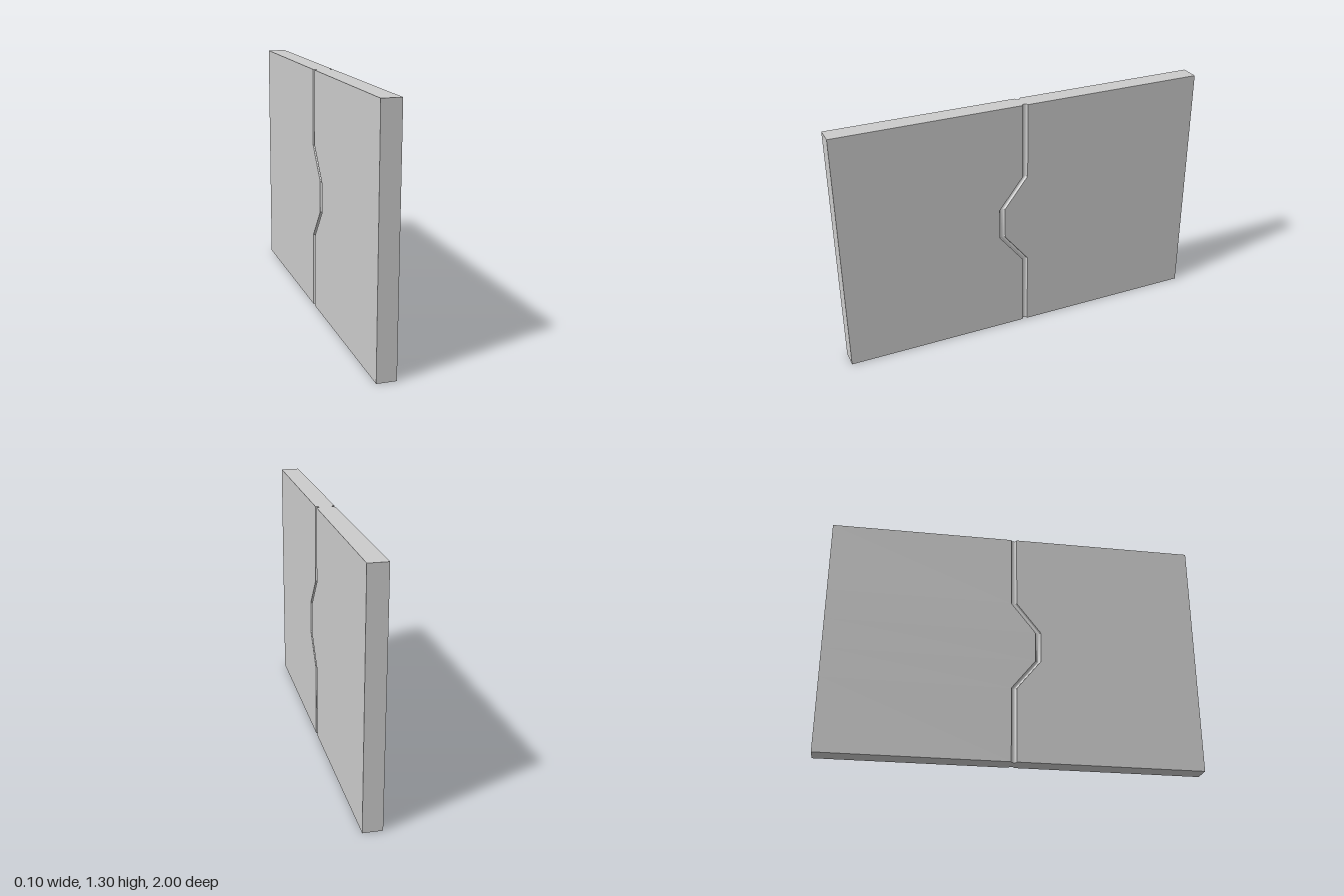
import * as THREE from 'three';
import { toCreasedNormals } from 'three/addons/utils/BufferGeometryUtils.js';

const HALF_X = 0.05, HALF_Z = 1, GROOVE = 0.015;
// Heights of the bends and how far the groove is pushed towards the front there
const HEIGHTS = [0, 0.4, 0.563, 0.73, 0.897, 1.297];
const SHIFTS = [0, 0, 0.13, 0.13, 0, 0];

// Plan outline of the slab with a half-round groove in each broad face
function outline() {
  const s = new THREE.Shape();
  s.moveTo(-HALF_X, -HALF_Z);
  s.lineTo(HALF_X, -HALF_Z);
  s.lineTo(HALF_X, -GROOVE);
  s.absarc(HALF_X, 0, GROOVE, -Math.PI / 2, Math.PI / 2, true);
  s.lineTo(HALF_X, HALF_Z);
  s.lineTo(-HALF_X, HALF_Z);
  s.lineTo(-HALF_X, GROOVE);
  s.absarc(-HALF_X, 0, GROOVE, Math.PI / 2, -Math.PI / 2, true);
  s.closePath();
  return s;
}

export function createModel() {
  const group = new THREE.Group();
  group.name = 'groovedPanel';

  // Extrude one step per bend, then set each level's height and groove shift
  const steps = HEIGHTS.length - 1;
  const geo = new THREE.ExtrudeGeometry(outline(), {
    depth: steps, steps, bevelEnabled: false, curveSegments: 12,
  });
  geo.rotateX(-Math.PI / 2);
  const p = geo.attributes.position;
  for (let i = 0; i < p.count; i++) {
    const level = Math.round(p.getY(i));
    p.setY(i, HEIGHTS[level]);
    if (Math.abs(p.getZ(i)) < 0.1) p.setZ(i, p.getZ(i) + SHIFTS[level]);
  }

  const panel = new THREE.Mesh(
    toCreasedNormals(geo, Math.PI / 7),
    new THREE.MeshStandardMaterial({ color: 0xcccccc }),
  );
  panel.name = 'panel';
  group.add(panel);
  return group;
}
